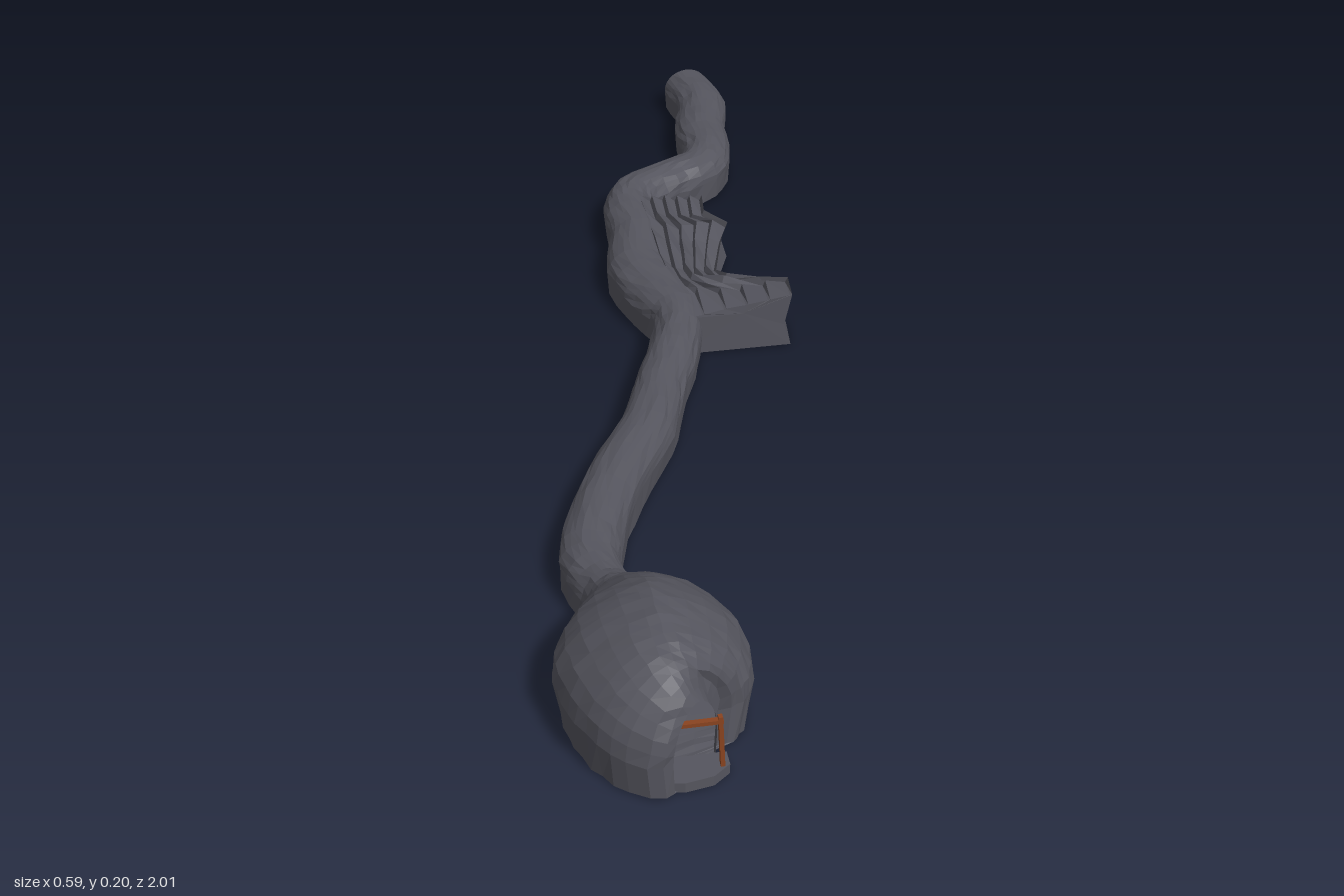
import * as THREE from 'three';

const rock = new THREE.MeshStandardMaterial({ color: 0x55555e, flatShading: true, side: THREE.DoubleSide });
const wood = new THREE.MeshStandardMaterial({ color: 0x8a4420 });
const FLOOR = 0.02;

// Small seeded jitter for rough rock
let seed = 7;
function rough(amount) {
  seed = (seed * 16807) % 2147483647;
  return (seed / 2147483647 - 0.5) * 2 * amount;
}

// Joins closed rings of points, ordered counter-clockwise as seen from the last ring
function skin(name, rings) {
  const n = rings[0].length, pos = [], idx = [];
  rings.forEach(r => r.forEach(p => pos.push(p.x, p.y, p.z)));
  for (let i = 0; i < rings.length - 1; i++) {
    for (let j = 0; j < n; j++) {
      const a = i * n + j, b = i * n + (j + 1) % n;
      idx.push(a, b, a + n, b, b + n, a + n);
    }
  }
  const geo = new THREE.BufferGeometry();
  geo.setAttribute('position', new THREE.Float32BufferAttribute(pos, 3));
  geo.setIndex(idx);
  geo.computeVertexNormals();
  const mesh = new THREE.Mesh(geo, rock);
  mesh.name = name;
  return mesh;
}

// Passage stations from the far mouth to the doorway: x, z, half width, roof height
const stations = [
  [0.232, -1, 0.044, 0.098], [0.245, -0.9, 0.047, 0.1], [0.222, -0.8, 0.048, 0.1],
  [0.215, -0.7, 0.046, 0.102], [0.185, -0.635, 0.046, 0.102], [0.115, -0.595, 0.045, 0.103],
  [0.05, -0.55, 0.045, 0.105], [0.028, -0.49, 0.044, 0.106], [0.028, -0.4, 0.046, 0.105],
  [0.012, -0.29, 0.054, 0.105], [0.035, -0.18, 0.052, 0.106], [0.048, -0.1, 0.042, 0.106],
  [0.02, 0, 0.042, 0.104], [-0.02, 0.1, 0.042, 0.103], [-0.06, 0.21, 0.045, 0.104],
  [-0.132, 0.34, 0.047, 0.105], [-0.178, 0.45, 0.046, 0.106], [-0.2, 0.54, 0.046, 0.106],
  [-0.188, 0.61, 0.038, 0.106], [-0.175, 0.65, 0.055, 0.125], [-0.167, 0.69, 0.086, 0.155],
  [-0.16, 0.74, 0.12, 0.188], [-0.157, 0.8, 0.136, 0.21], [-0.158, 0.86, 0.131, 0.214],
  [-0.155, 0.91, 0.113, 0.206], [-0.145, 0.945, 0.087, 0.185], [-0.127, 0.966, 0.046, 0.145],
];

// Flat-floored arch: side corner, arch, other corner, floor
function archRing(c, dir, half, top, jitter) {
  const spring = 0.04 + 0.2 * top, power = 1 + Math.max(0, top - 0.105) * 3.5;
  const outline = [[0.93, FLOOR]];
  const steps = 14;
  for (let k = 0; k <= steps; k++) {
    const a = Math.PI * k / steps, cos = Math.cos(a);
    outline.push([Math.sign(cos) * Math.abs(cos) ** power, spring + Math.sin(a) * (top - spring)]);
  }
  outline.push([-0.93, FLOOR], [-0.35, FLOOR], [0.35, FLOOR]);
  return outline.map(([u, y]) => new THREE.Vector3(
    c.x + dir.z * u * half + rough(jitter),
    y + rough(jitter * 0.7),
    c.z - dir.x * u * half + rough(jitter)));
}

function buildCave() {
  const path = new THREE.CatmullRomCurve3(stations.map(s => new THREE.Vector3(s[0], 0, s[1])), false, 'catmullrom');
  const size = new THREE.CatmullRomCurve3(stations.map(s => new THREE.Vector3(s[2], s[3], 0)), false, 'catmullrom');
  const rings = [], count = (stations.length - 1) * 3;
  for (let i = 0; i <= count; i++) {
    const t = i / count, s = size.getPoint(t), dir = path.getTangent(t);
    const ends = i === 0 || i === count;
    rings.push(archRing(path.getPoint(t), dir, s.x, s.y, ends ? 0 : 0.002));
  }
  return skin('tunnelAndDomeChamber', rings);
}

// Collapsed side pocket: z, outer x, height at the inner side, height at the outer side
function buildRubble() {
  const rows = [
    [-0.49, 0.165, 0.1, 0.09], [-0.43, 0.158, 0.104, 0.085], [-0.38, 0.19, 0.1, 0.095],
    [-0.33, 0.17, 0.104, 0.085], [-0.28, 0.155, 0.1, 0.09], [-0.23, 0.14, 0.104, 0.085],
    [-0.19, 0.15, 0.1, 0.1], [-0.16, 0.2, 0.1, 0.108], [-0.138, 0.245, 0.098, 0.112], [-0.067, 0.237, 0.09, 0.118],
  ];
  const ledges = 5, inner = 0.05;
  const rings = rows.map(([z, outer, hIn, hOut], i) => {
    const jitter = i === 0 || i === rows.length - 1 ? 0.001 : 0.005;
    const ring = [new THREE.Vector3(outer, FLOOR, z), new THREE.Vector3(outer - 0.012, 0.06, z + rough(jitter))];
    // Each ledge has a lip and a drop, giving a split-slab top
    for (let k = ledges; k >= 0; k--) {
      const f = k / ledges, x = inner + (outer - inner) * f;
      const y = hIn + (hOut - hIn) * f + rough(jitter);
      ring.push(new THREE.Vector3(x, y, z + rough(jitter)));
      if (k > 0) ring.push(new THREE.Vector3(x - 0.004, y - (i === rows.length - 1 ? 0.001 : 0.011), z + rough(jitter)));
    }
    ring.push(new THREE.Vector3(inner, FLOOR, z));
    return ring;
  });
  // Close both ends
  const cap = ring => {
    const mid = new THREE.Vector3();
    ring.forEach(p => mid.add(p));
    mid.divideScalar(ring.length);
    return ring.map(() => mid);
  };
  return skin('rubblePocket', [cap(rings[0]), ...rings, cap(rings[rings.length - 1])]);
}

// Uneven stone step in front of the doorway
function buildDoorstep() {
  const shape = new THREE.Shape([
    [-0.195, -0.94], [-0.18, -0.985], [-0.145, -0.992], [-0.105, -0.985], [-0.08, -0.965], [-0.08, -0.94],
  ].map(p => new THREE.Vector2(...p)));
  const geo = new THREE.ExtrudeGeometry(shape, { depth: 0.016, bevelEnabled: false });
  geo.rotateX(-Math.PI / 2);
  const step = new THREE.Mesh(geo, rock);
  step.name = 'doorstep';
  step.position.y = 0.018;
  return step;
}

// Timber door frame
function buildDoorFrame() {
  const frame = new THREE.Group();
  frame.name = 'doorFrame';
  const beam = (name, w, h, x, y, tilt) => {
    const mesh = new THREE.Mesh(new THREE.BoxGeometry(w, h, 0.008), wood);
    mesh.name = name;
    mesh.position.set(x, y, 0.968);
    mesh.rotation.z = tilt;
    frame.add(mesh);
  };
  beam('rightPost', 0.006, 0.084, -0.161, 0.079, 0.02);
  beam('leftPost', 0.006, 0.084, -0.093, 0.079, 0.05);
  beam('lintel', 0.072, 0.006, -0.127, 0.113, 0);
  return frame;
}

export function createModel() {
  const model = new THREE.Group();
  model.name = 'caveTunnel';
  model.add(buildCave(), buildRubble(), buildDoorstep(), buildDoorFrame());
  return model;
}
